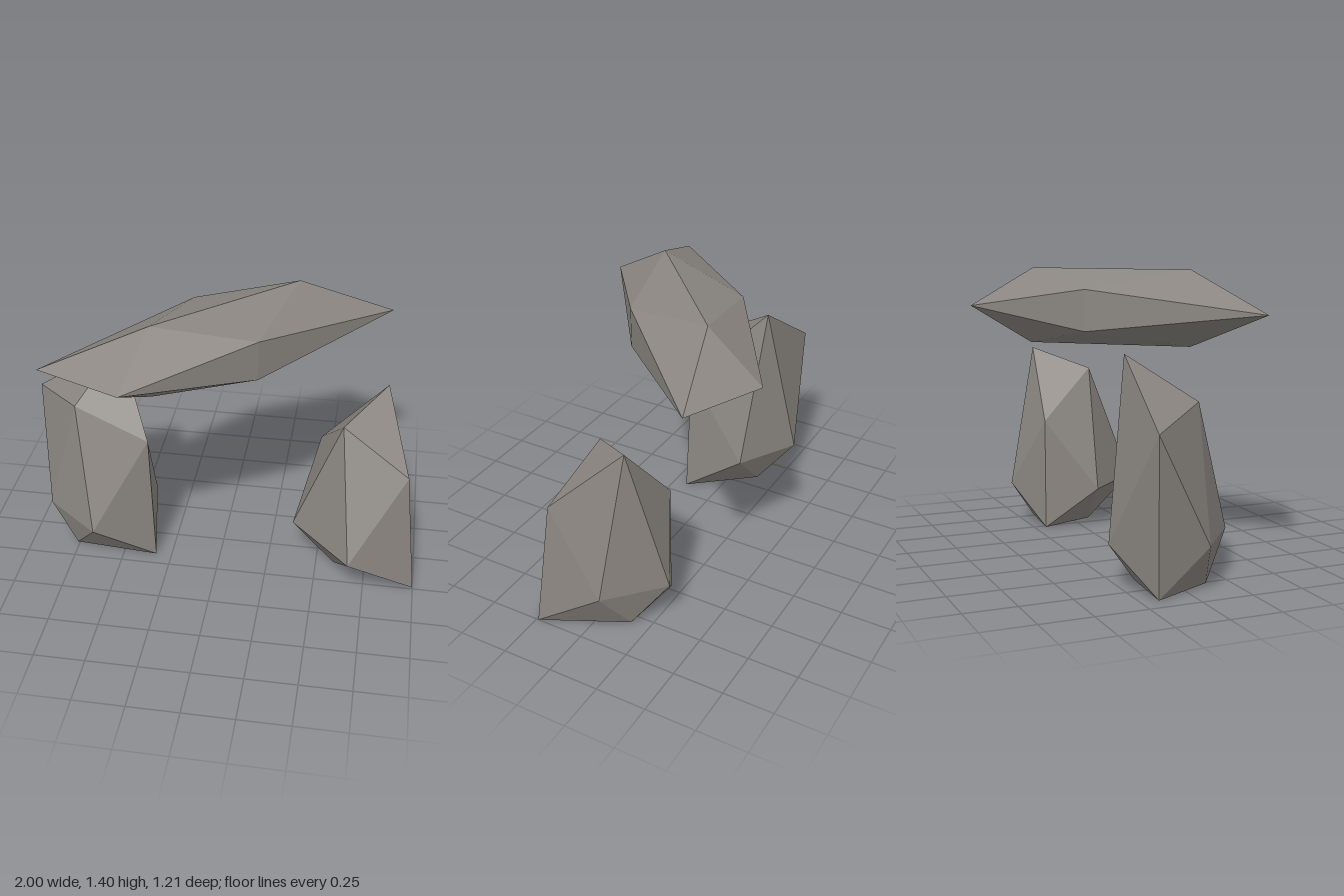
import * as THREE from 'three';

// Each boulder is a deformed icosahedron: this is its shared face layout.
const FACES = [
  0, 11, 5, 0, 5, 1, 0, 1, 7, 0, 7, 10, 0, 10, 11,
  1, 5, 9, 5, 11, 4, 11, 10, 2, 10, 7, 6, 7, 1, 8,
  3, 9, 4, 3, 4, 2, 3, 2, 6, 3, 6, 8, 3, 8, 9,
  4, 9, 5, 2, 4, 11, 6, 2, 10, 8, 6, 7, 9, 8, 1,
];

// Corner order: crown pair, base pair, front side (low, high),
// back side (low, high), then the four girdle corners.
function boulder(name, corners, material) {
  const indexed = new THREE.BufferGeometry();
  indexed.setAttribute('position', new THREE.Float32BufferAttribute(corners.flat(), 3));
  indexed.setIndex(FACES);
  const geometry = indexed.toNonIndexed();
  geometry.computeVertexNormals();
  const mesh = new THREE.Mesh(geometry, material);
  mesh.name = name;
  return mesh;
}

export function createModel() {
  const stone = new THREE.MeshStandardMaterial({ color: 0x8a8580, flatShading: true });
  stone.name = 'warm grey stone';

  const group = new THREE.Group();
  group.name = 'stoneArch';

  // Tall upright on the model's right
  group.add(boulder('rightUpright', [
    [-0.73, 0.83, 0.11], [-0.56, 1.04, -0.18],
    [-0.76, 0, 0.14], [-0.59, 0, -0.14],
    [-0.33, 0, 0.175], [-0.355, 0.69, 0.16],
    [-0.91, 0, -0.165], [-1, 0.745, -0.21],
    [-0.69, 0.21, -0.31], [-0.38, 0.21, -0.13],
    [-0.9, 0.21, 0.09], [-0.625, 0.21, 0.31],
  ], stone));

  // Shorter upright on the model's left
  group.add(boulder('leftUpright', [
    [0.6, 0.84, 0.11], [0.8, 0.945, -0.145],
    [0.59, 0, 0.1], [0.8, 0, -0.155],
    [1, 0, 0.24], [0.93, 0.63, 0.19],
    [0.475, 0, -0.19], [0.48, 0.58, -0.19],
    [0.7, 0.21, -0.31], [0.95, 0.21, -0.08],
    [0.37, 0.21, 0.07], [0.67, 0.21, 0.38],
  ], stone));

  // Long flat slab turned diagonally above the uprights
  group.add(boulder('capstone', [
    [-0.3, 1.4, 0.28], [0.33, 1.4, -0.3],
    [-0.3, 1.03, 0.28], [0.34, 1.02, -0.31],
    [0.19, 1.11, 0.185], [0.19, 1.31, 0.185],
    [-0.18, 1.11, -0.22], [-0.18, 1.31, -0.22],
    [0.4, 1.21, -0.61], [0.79, 1.21, -0.43],
    [-0.8, 1.21, 0.42], [-0.38, 1.21, 0.6],
  ], stone));

  return group;
}
